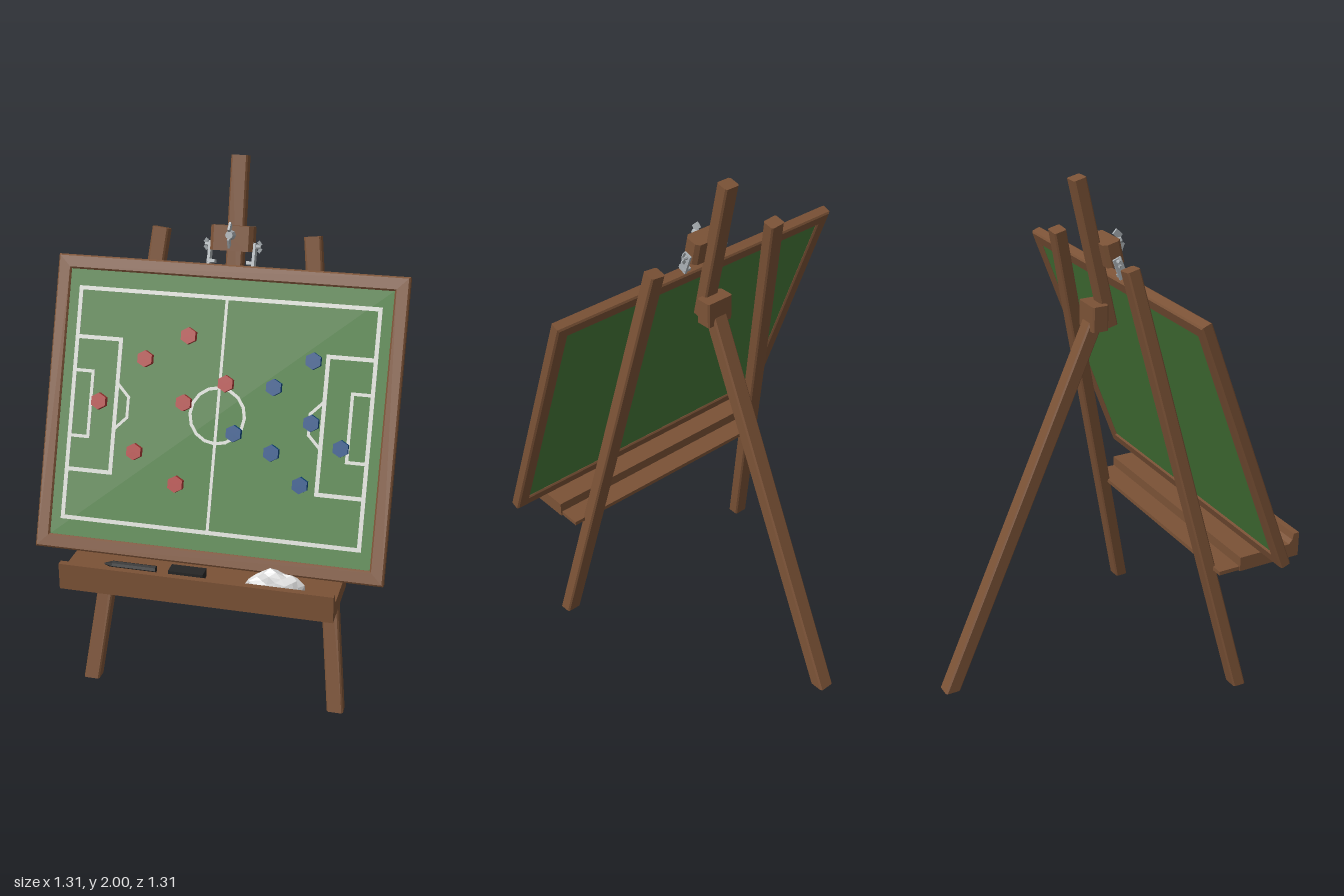
import * as THREE from 'three';

const mat = (name, color, extra = {}) => {
  const m = new THREE.MeshStandardMaterial({ color, flatShading: true, ...extra });
  m.name = name;
  return m;
};

export function createModel() {
  const wood = mat('wood', 0x7b5236);
  const green = mat('pitch green', 0x477a3a);
  const white = mat('line white', 0xd6d8d2);
  const red = mat('red', 0xab3a36);
  const blue = mat('blue', 0x0f4a82);
  const black = mat('black', 0x262626);
  const metal = mat('metal', 0xaab0b4);
  const cloth = mat('cloth', 0xdedede);

  const model = new THREE.Group();
  model.name = 'tacticsEasel';
  const V = (x, y, z) => new THREE.Vector3(x, y, z);

  const add = (parent, name, geo, material, x = 0, y = 0, z = 0) => {
    const mesh = new THREE.Mesh(geo, material);
    mesh.name = name;
    mesh.position.set(x, y, z);
    parent.add(mesh);
    return mesh;
  };
  const group = (parent, name, x, y, z, tilt = 0) => {
    const g = new THREE.Group();
    g.name = name;
    g.position.set(x, y, z);
    g.rotation.x = tilt;
    parent.add(g);
    return g;
  };

  // Beam with chamfered edges from a up to b; a "footed" one is cut level with the floor
  const beam = (a, b, w, d, c = 0.006, footed = false) => {
    const x = w / 2, y = d / 2;
    const shape = new THREE.Shape([
      [x - c, -y], [x, c - y], [x, y - c], [x - c, y],
      [c - x, y], [-x, y - c], [-x, c - y], [c - x, -y],
    ].map(([px, py]) => new THREE.Vector2(px, py)));
    const dir = b.clone().sub(a);
    const length = dir.length();
    dir.normalize();
    const geo = new THREE.ExtrudeGeometry(shape, { depth: length, bevelEnabled: false });
    const xAxis = V(1, 0, 0).addScaledVector(dir, -dir.x).normalize();
    const yAxis = dir.clone().cross(xAxis);
    geo.applyMatrix4(new THREE.Matrix4().makeBasis(xAxis, yAxis, dir).setPosition(a));
    if (footed) {
      const pos = geo.attributes.position;
      const p = V(0, 0, 0);
      for (let i = 0; i < pos.count; i++) {
        p.fromBufferAttribute(pos, i);
        if (p.y < 0.2) p.addScaledVector(dir, -p.y / dir.y);
        pos.setXYZ(i, p.x, p.y, p.z);
      }
      geo.computeVertexNormals();
    }
    return geo;
  };

  // Easel: front legs and mast share one leaning plane
  const planeZ = (y) => 0.41 - 0.2297 * y;
  for (const [side, s] of [['left', 1], ['right', -1]]) {
    add(model, side + 'FrontLeg',
      beam(V(s * 0.485, 0, planeZ(0)), V(s * 0.285, 1.725, planeZ(1.725)), 0.062, 0.052, 0.006, true), wood);
  }
  add(model, 'mast', beam(V(0, 1.42, planeZ(1.42)), V(0, 1.994, planeZ(1.994)), 0.062, 0.052), wood);
  add(model, 'rearLeg', beam(V(0, 0, -0.622), V(0, 1.46, 0.025), 0.064, 0.057, 0.006, true), wood);
  add(model, 'crossbar', beam(V(-0.31, 1.47, 0.072), V(0.31, 1.47, 0.072), 0.06, 0.04, 0.004), wood)
    .geometry.computeBoundingBox();
  add(model, 'hingeBlock', beam(V(0, 1.418, 0.022), V(0, 1.517, 0.022), 0.116, 0.066, 0.006), wood);

  // Tray with a raised front lip, carried by a thin shelf
  const profile = new THREE.Shape([
    [0.66, 0.525], [0.66, 0.626], [0.635, 0.626], [0.63, 0.6],
    [0.615, 0.584], [0.39, 0.584], [0.39, 0.525],
  ].map(([z, y]) => new THREE.Vector2(z, y)));
  const trayGeo = new THREE.ExtrudeGeometry(profile, { depth: 1.01, bevelEnabled: false });
  trayGeo.rotateY(-Math.PI / 2).translate(0.505, 0, 0);
  add(model, 'tray', trayGeo, wood);
  add(model, 'trayShelf', new THREE.BoxGeometry(1.0, 0.016, 0.1), wood, 0, 0.536, 0.35);

  // Board, built upright and then leaned back
  const board = group(model, 'board', 0, 1.11, 0.296, -THREE.MathUtils.degToRad(21));
  const rect = (Type, w, h) => new Type([
    [-w, -h], [w, -h], [w, h], [-w, h],
  ].map(([x, y]) => new THREE.Vector2(x / 2, y / 2)));
  const frameShape = rect(THREE.Shape, 1.31, 1.097);
  frameShape.holes.push(rect(THREE.Path, 1.205, 0.992));
  const bevel = 0.006;
  const frameGeo = new THREE.ExtrudeGeometry(frameShape, {
    depth: 0.045 - 2 * bevel, bevelThickness: bevel, bevelSize: bevel, bevelOffset: -bevel, bevelSegments: 1,
  });
  add(board, 'frame', frameGeo, wood, 0, 0, -0.0225 + bevel);
  add(board, 'pitch', new THREE.BoxGeometry(1.22, 1.007, 0.03), green);

  // Pitch markings
  const face = 0.0165;
  const lines = group(board, 'markings', 0, 0, face);
  const stroke = (x0, y0, x1, y1, w = 0.015) => {
    const len = Math.hypot(x1 - x0, y1 - y0);
    const m = add(lines, 'line', new THREE.BoxGeometry(len + w * 0.9, w, 0.003), white, (x0 + x1) / 2, (y0 + y1) / 2);
    m.rotation.z = Math.atan2(y1 - y0, x1 - x0);
  };
  const path = (pts, w) => pts.slice(1).forEach((p, i) => stroke(...pts[i], ...p, w));
  const X = 0.558, Y = 0.428;
  path([[-X, -Y], [X, -Y], [X, Y], [-X, Y], [-X, -Y]]);
  stroke(0, -Y, 0, Y, 0.011);
  for (const s of [-1, 1]) {
    path([[s * X, 0.247], [s * 0.388, 0.247], [s * 0.388, -0.247], [s * X, -0.247]]);
    path([[s * X, 0.122], [s * 0.486, 0.122], [s * 0.486, -0.122], [s * X, -0.122]], 0.012);
    path([[s * 0.382, 0.08], [s * 0.341, 0.038], [s * 0.341, -0.038], [s * 0.382, -0.08]], 0.011);
  }
  add(lines, 'centreCircle', new THREE.RingGeometry(0.096, 0.108, 16), white, 0, 0, 0.0015);

  // Hexagonal counters for both teams: x and height above the floor
  const counterGeo = new THREE.CylinderGeometry(0.031, 0.031, 0.026, 6).rotateX(Math.PI / 2);
  const teams = [
    ['redCounter', red, [[-0.128, 1.382], [-0.285, 1.292], [-0.449, 1.133], [-0.126, 1.154],
      [0.025, 1.231], [-0.298, 0.971], [-0.131, 0.875]]],
    ['blueCounter', blue, [[0.338, 1.332], [0.203, 1.233], [0.349, 1.125], [0.463, 1.05],
      [0.07, 1.066], [0.214, 1.013], [0.328, 0.915]]],
  ];
  for (const [name, material, spots] of teams) {
    for (const [x, y] of spots) add(board, name, counterGeo, material, x, (y - 1.12) / 0.934, 0.028);
  }

  // Wing nut pointing along +z
  const wingNut = (parent, x, y, z, scale, turn) => {
    const nut = group(parent, 'wingNut', x, y, z);
    nut.rotation.y = turn;
    nut.scale.setScalar(scale);
    add(nut, 'hub', new THREE.CylinderGeometry(0.014, 0.019, 0.04, 8).rotateX(Math.PI / 2), metal);
    for (const s of [-1, 1]) {
      const wing = add(nut, 'wing', new THREE.BoxGeometry(0.008, 0.034, 0.024), metal, 0, s * 0.026, 0.012);
      wing.rotation.x = -s * 0.6;
    }
  };

  // Clamp gripping the top of the board
  const clamp = group(model, 'clamp', 0, 1.715, 0.068, -0.226);
  add(clamp, 'clampBlock', beam(V(0, -0.045, 0), V(0, 0.045, 0), 0.158, 0.072, 0.014), wood);
  wingNut(clamp, 0, 0.012, 0.05, 1, 0);
  for (const s of [-1, 1]) {
    const plate = add(model, 'clampPlate', new THREE.BoxGeometry(0.01, 0.085, 0.034), metal, s * 0.083, 1.662, 0.086);
    plate.rotation.x = -0.37;
    add(model, 'clampFoot', new THREE.BoxGeometry(0.03, 0.012, 0.034), metal, s * 0.074, 1.634, 0.1).rotation.x = -0.37;
    wingNut(model, s * 0.094, 1.69, 0.075, 0.5, s * Math.PI / 2);
  }

  // Marker pen and eraser on the tray
  const pen = group(model, 'marker', 0, 0.598, 0.568);
  add(pen, 'penBody', new THREE.CylinderGeometry(0.014, 0.014, 0.165, 8).rotateZ(Math.PI / 2), black, -0.2475);
  add(pen, 'penTip', new THREE.CylinderGeometry(0.014, 0.003, 0.032, 8).rotateZ(-Math.PI / 2), black, -0.346);
  add(model, 'eraser', new THREE.BoxGeometry(0.13, 0.032, 0.053), black, -0.046, 0.6, 0.572);

  // Crumpled cloth: a squashed ball with folds
  const ragGeo = new THREE.IcosahedronGeometry(1, 2);
  const pos = ragGeo.attributes.position;
  for (let i = 0; i < pos.count; i++) {
    const x = pos.getX(i), y = pos.getY(i), z = pos.getZ(i);
    const fold = 0.92 + 0.13 * Math.sin(7 * x + 4 * z) * Math.cos(5 * z - 3 * y + 2 * x);
    pos.setXYZ(i, x * fold * 0.115, Math.max(0, y * fold * 0.078), z * fold * 0.038);
  }
  ragGeo.computeVertexNormals();
  add(model, 'rag', ragGeo, cloth, 0.285, 0.585, 0.575);

  return model;
}
